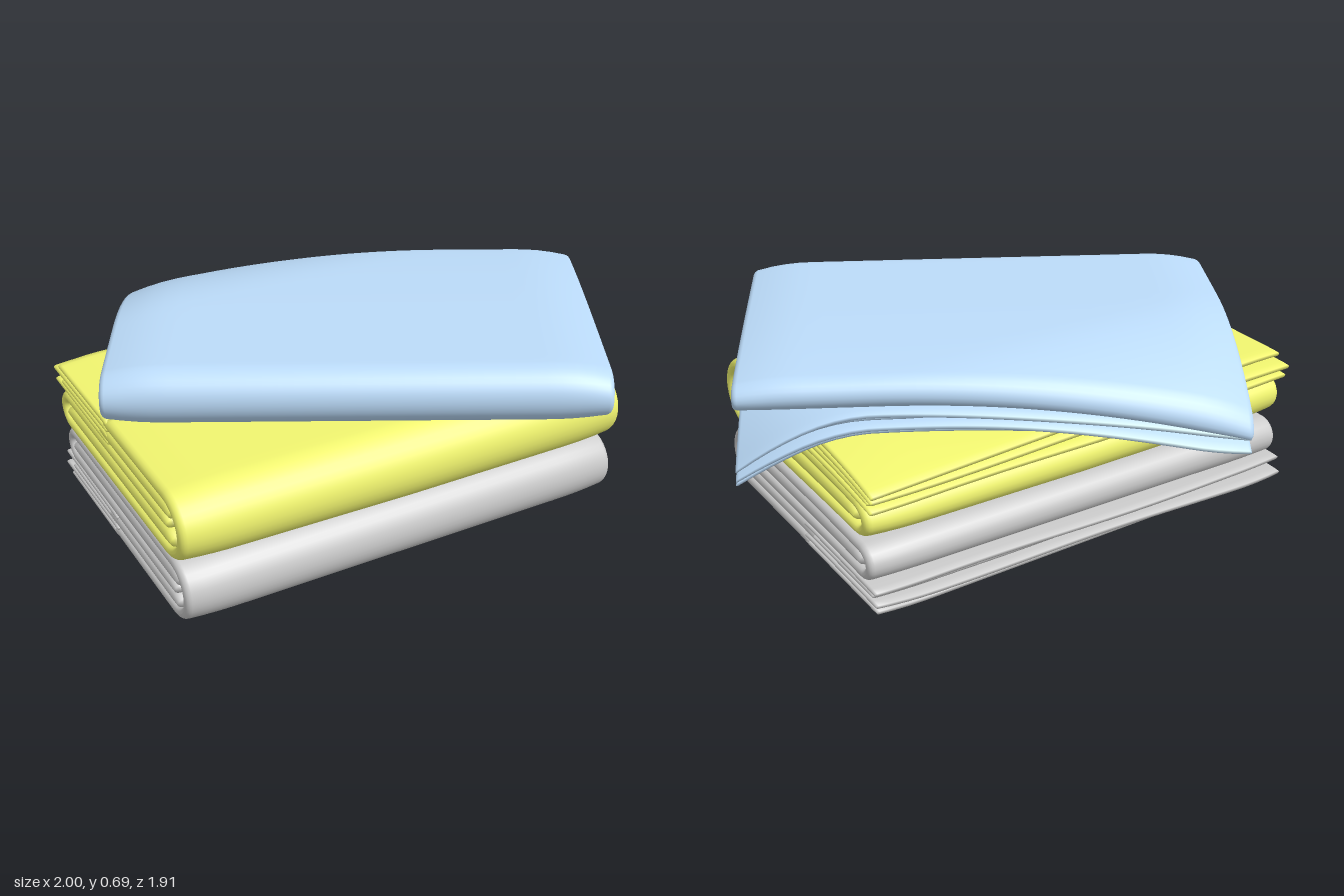
import * as THREE from 'three';

// Points along an arc of a fold, in (u, y)
function arc(cu, cy, r, a0, a1, n = 12) {
  return Array.from({ length: n + 1 }, (_, i) => {
    const a = a0 + (a1 - a0) * i / n;
    return [cu + r * Math.cos(a), cy + r * Math.sin(a)];
  });
}

// Points along a straight run, both ends included
function run(u0, y0, u1, y1, n = 14) {
  return Array.from({ length: n + 1 }, (_, i) => [u0 + (u1 - u0) * i / n, y0 + (y1 - y0) * i / n]);
}

// Soft sheet of thickness t that follows a path in (u, y) and runs along v, with rounded rims
function sheet(path, t, length, place) {
  const pts = path.filter((p, i) => !i || Math.hypot(p[0] - path[i - 1][0], p[1] - path[i - 1][1]) > 1e-5);
  const n = pts.length, right = [], left = [];
  pts.forEach((p, i) => {
    const a = pts[Math.max(i - 1, 0)], b = pts[Math.min(i + 1, n - 1)];
    const d = Math.hypot(b[0] - a[0], b[1] - a[1]);
    const k = (i === 0 || i === n - 1) ? 0.35 : 0.5;
    const nu = (b[1] - a[1]) / d * k, ny = -(b[0] - a[0]) / d * k;
    right.push([p[0], p[1], nu, ny]);
    left.unshift([p[0], p[1], -nu, -ny]);
  });
  const loop = right.concat(left), m = loop.length;

  // Rings along the length, thinning to nothing at both ends
  const rings = [], half = length / 2, r = t / 2, steps = 32;
  for (const q of [0, 0.25, 0.5, 0.75]) {
    rings.push([-half + r * (1 - Math.cos(q * Math.PI / 2)), Math.sin(q * Math.PI / 2)]);
  }
  for (let i = 0; i <= steps; i++) rings.push([(half - r) * (2 * i / steps - 1), 1]);
  for (let i = 3; i >= 0; i--) rings.push([-rings[i][0], rings[i][1]]);

  const pos = [], index = [];
  rings.forEach(([v, f], k) => loop.forEach(([u, y, nu, ny], i) => {
    pos.push(...place(u + nu * t * f, y + ny * t * f, v));
    if (k === rings.length - 1) return;
    const a = k * m + i, b = k * m + (i + 1) % m;
    index.push(a, b, b + m, a, b + m, a + m);
  }));
  const g = new THREE.BufferGeometry();
  g.setAttribute('position', new THREE.Float32BufferAttribute(pos, 3));
  g.setIndex(index);
  g.computeVertexNormals();
  return g;
}

// One folded cloth: rolled outer layer, inner layers and loose hems on the open side
function foldedCloth({ name, color, corner, dir, W, H, L, base, flip, puff, hemReach, hemLean, hemThick, sag,
  hemSag = () => 0 }) {
  const group = new THREE.Group();
  group.name = name;
  const material = new THREE.MeshStandardMaterial({ color, side: THREE.DoubleSide });
  const [ux, uz] = dir;

  // From cloth space to the stack: ends rounded down, then sagging
  const placer = (hem) => (u, y, v) => {
    const e = Math.max(0, 1 - (L / 2 - Math.abs(v)) / 0.2) ** 2;
    const uu = W / 2 + (u - W / 2) * (1 - 0.02 * e);
    const yy = 0.35 * H + (y - 0.35 * H) * (1 - puff * e);
    const s = v + L / 2;
    const x = corner[0] + uu * ux - s * uz;
    const z = corner[1] + uu * uz + s * ux;
    const drop = sag(x, z, yy / H, uu / W, v / L) + (hem ? hemSag(x, z) : 0);
    return [x, base + yy - drop, z];
  };
  const fy = (p) => (flip ? p.map(([u, y]) => [u, H - y]) : p);
  const add = (part, path, t, place = placer(false)) => {
    const mesh = new THREE.Mesh(sheet(fy(path), t, L, place), material);
    mesh.name = part;
    group.add(mesh);
  };

  // Outer layer: under side, big fold, upper side, return fold, and back inside
  const R = 0.41 * H, cu = 0.5 * H, r = 0.215 * H, fu = W - 0.3 * H, lo = 0.09 * H, hi = 0.91 * H;
  add('outerLayer', [
    ...run(0.58 * W, lo, cu, lo),
    ...arc(cu, H / 2, R, -Math.PI / 2, -Math.PI * 1.5, 18),
    ...run(cu, hi, fu, hi, 20),
    ...arc(fu, hi - r, r, Math.PI / 2, -Math.PI / 2),
    ...run(fu, hi - 2 * r, 0.42 * H, hi - 2 * r, 20),
  ], 0.17 * H);

  // Layers tucked inside the two folds
  add('innerLayer', run(0.32 * H, 0.695 * H, fu, 0.695 * H, 20), 0.235 * H);
  add('lowerLayer', run(0.34 * H, 0.285 * H, 0.62 * W, 0.285 * H), 0.19 * H);

  // Loose hems, each ending at a slightly different place and angle
  [0.06, 0.16, 0.26, 0.36].forEach((f, i) => {
    const end = W + hemReach + [0, 0.025, -0.025, 0.015][i];
    const skew = hemLean + [0.02, -0.015, 0.02, -0.01][i];
    const place = placer(true);
    add('looseHem', run(0.56 * W, f * H, end, f * H, 18), hemThick * H, (u, y, v) => {
      const k = Math.max(0, (u / W - 0.56) / 0.44);
      const wave = i ? 0.005 * k * Math.sin(5 * v + i * 1.9) : 0;
      return place(u + skew * v * k, y + wave, v);
    });
  });
  return group;
}

export function createModel() {
  const model = new THREE.Group();
  model.name = 'foldedClothStack';

  model.add(foldedCloth({
    name: 'bottomCloth', color: 0xcccccc, corner: [-0.98, 0.125], dir: [0.433, -0.901],
    W: 1.07, H: 0.23, L: 1.62, base: 0, puff: 0.06, hemReach: 0.01, hemLean: 0.015, hemThick: 0.075,
    sag: (x, z, y, u, v) => 0.02 * y * Math.max(0, u) ** 4 * (v + 0.5),
  }));

  // The middle cloth lies upside down, so its hems are on top
  model.add(foldedCloth({
    name: 'middleCloth', color: 0xf2f670, corner: [-1.005, 0.14], dir: [0.433, -0.901],
    W: 1.08, H: 0.27, L: 1.635, base: 0.222, flip: true, puff: 0.08, hemReach: 0.01, hemLean: 0.015, hemThick: 0.075,
    sag: (x, z, y, u, v) => 0.06 * y * Math.max(0, u) ** 4 * (v + 0.5) - 0.03 * Math.max(0, -v) * (1 - y),
  }));

  // The top cloth sags where it overhangs the one below
  model.add(foldedCloth({
    name: 'topCloth', color: 0xbcdcfa, corner: [-0.83, -0.34], dir: [0.806, -0.592],
    W: 1.06, H: 0.2, L: 1.62, base: 0.492, puff: 0.22, hemReach: -0.015, hemLean: 0.05, hemThick: 0.1,
    sag: (x, z, y, u) => 0.54 * Math.max(0, 0.435 * x - 0.9 * (z + 0.62) + 0.25) ** 2
      + 0.03 * y * Math.max(0, u) ** 4,
    hemSag: (x, z) => 1.15 * Math.max(0, 0.905 * (x - 0.45) + 0.425 * (z - 0.83) + 0.1) ** 2,
  }));
  return model;
}
